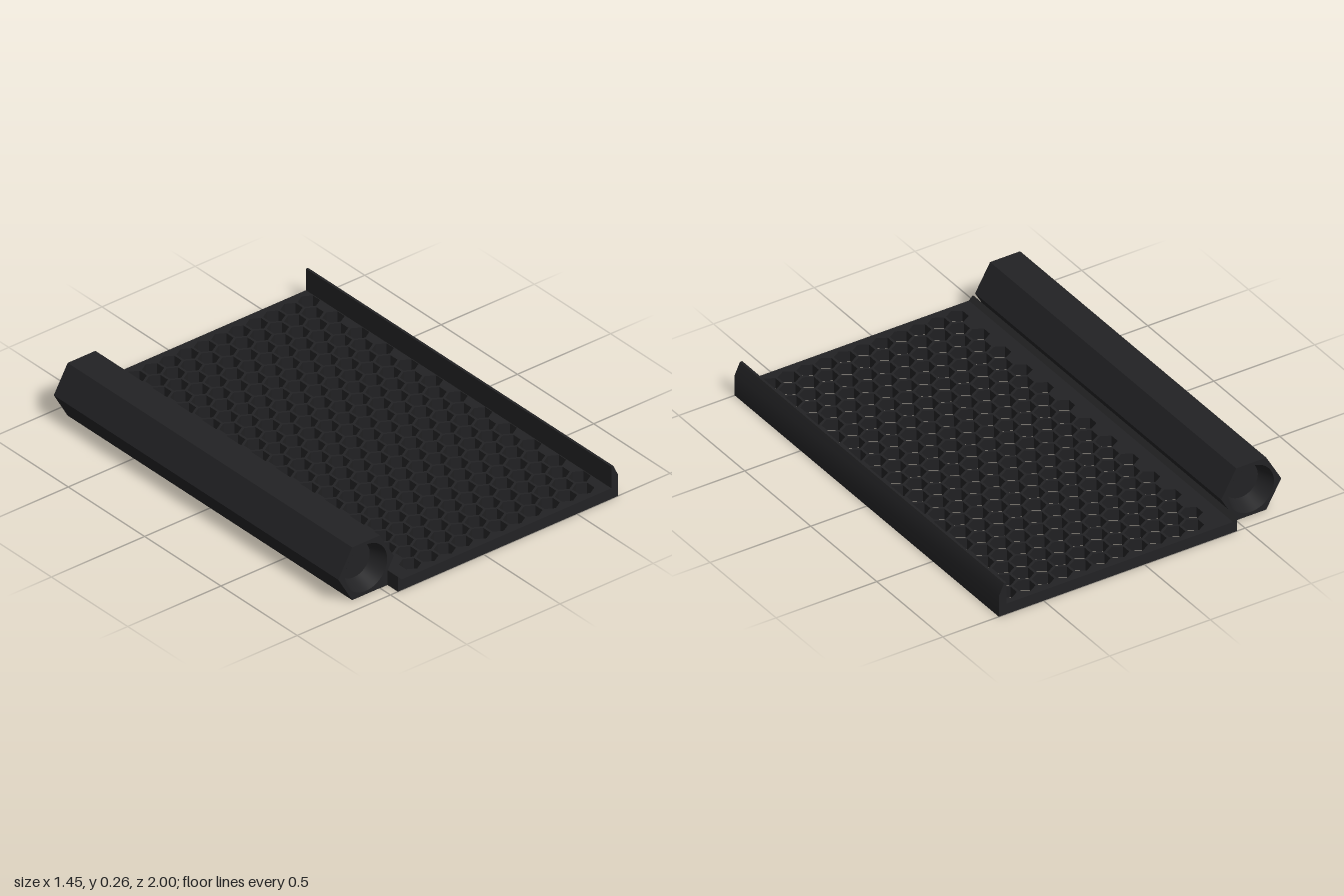
import * as THREE from 'three';
import { toCreasedNormals } from 'three/addons/utils/BufferGeometryUtils.js';

const material = new THREE.MeshStandardMaterial({ color: 0x222224, side: THREE.DoubleSide });
const THICK = 0.052;
const TUBE = { x: -0.575, y: 0.13, r: 0.149, half: 0.932, bore: 0.113 };

const shapeOf = (pts) => new THREE.Shape(pts.map(([x, y]) => new THREE.Vector2(x, y)));

function hexPoints(cx, cy, r, start) {
  return Array.from({ length: 6 }, (_, i) => {
    const a = start + (i * Math.PI) / 3;
    return new THREE.Vector2(cx + r * Math.cos(a), cy + r * Math.sin(a));
  });
}

function addMesh(group, name, geometry) {
  const mesh = new THREE.Mesh(geometry, material);
  mesh.name = name;
  group.add(mesh);
  return mesh;
}

// Extrude an x-y profile along z, centred on z = 0
function extrudeAlongZ(shape, half) {
  const g = new THREE.ExtrudeGeometry(shape, { depth: 2 * half, bevelEnabled: false, curveSegments: 32 });
  g.translate(0, 0, -half);
  return toCreasedNormals(g, 0.5);
}

// Flat panel pierced by staggered rows of hexagons
function panelGeometry() {
  const shape = shapeOf([[-0.44, -1], [0.685, -1], [0.685, 1], [-0.44, 1]]);
  const pitch = 0.0929, rowPitch = 0.0806, rows = 24, columns = 11;
  for (let r = 0; r < rows; r++) {
    const x0 = r % 2 ? -0.335 : -0.2885;
    const z = (r - (rows - 1) / 2) * rowPitch;
    for (let c = 0; c < columns; c++) {
      shape.holes.push(new THREE.Path(hexPoints(x0 + c * pitch, z, 0.047, Math.PI / 6).reverse()));
    }
  }
  const g = new THREE.ExtrudeGeometry(shape, { depth: THICK, bevelEnabled: false });
  g.rotateX(Math.PI / 2);
  g.translate(0, THICK, 0);
  return g;
}

export function createModel() {
  const model = new THREE.Group();
  model.name = 'perforatedTray';

  addMesh(model, 'perforatedPanel', panelGeometry());

  // Upright lip with a sloped outer top edge
  addMesh(model, 'edgeLip', extrudeAlongZ(
    shapeOf([[0.685, 0], [0.722, 0], [0.722, 0.102], [0.696, 0.157], [0.685, 0.157]]), 1));

  // Full-length raised edge of the panel beside the tube
  addMesh(model, 'panelEdge', extrudeAlongZ(
    shapeOf([[-0.46, 0], [-0.44, 0], [-0.44, THICK], [-0.46, 0.072]]), 1));

  // Web joining the panel to the tube
  addMesh(model, 'tubeWeb', extrudeAlongZ(
    shapeOf([[-0.5, 0], [-0.46, 0], [-0.46, 0.072]]), TUBE.half));

  // Hexagonal tube
  const hex = new THREE.Shape(hexPoints(TUBE.x, TUBE.y, TUBE.r, 0));
  hex.holes.push(new THREE.Path().absarc(TUBE.x, TUBE.y, TUBE.bore, 0, Math.PI * 2, true));
  addMesh(model, 'hexTube', extrudeAlongZ(hex, TUBE.half));

  // Tapered pocket closing each end of the tube
  const profile = [[0, -0.08], [0.085, -0.08], [TUBE.bore, 0]].map(([r, y]) => new THREE.Vector2(r, y));
  for (const side of [1, -1]) {
    const g = toCreasedNormals(new THREE.LatheGeometry(profile, 48), 0.5);
    g.rotateX((side * Math.PI) / 2);
    const pocket = addMesh(model, side > 0 ? 'frontPocket' : 'backPocket', g);
    pocket.position.set(TUBE.x, TUBE.y, side * TUBE.half);
  }
  return model;
}
